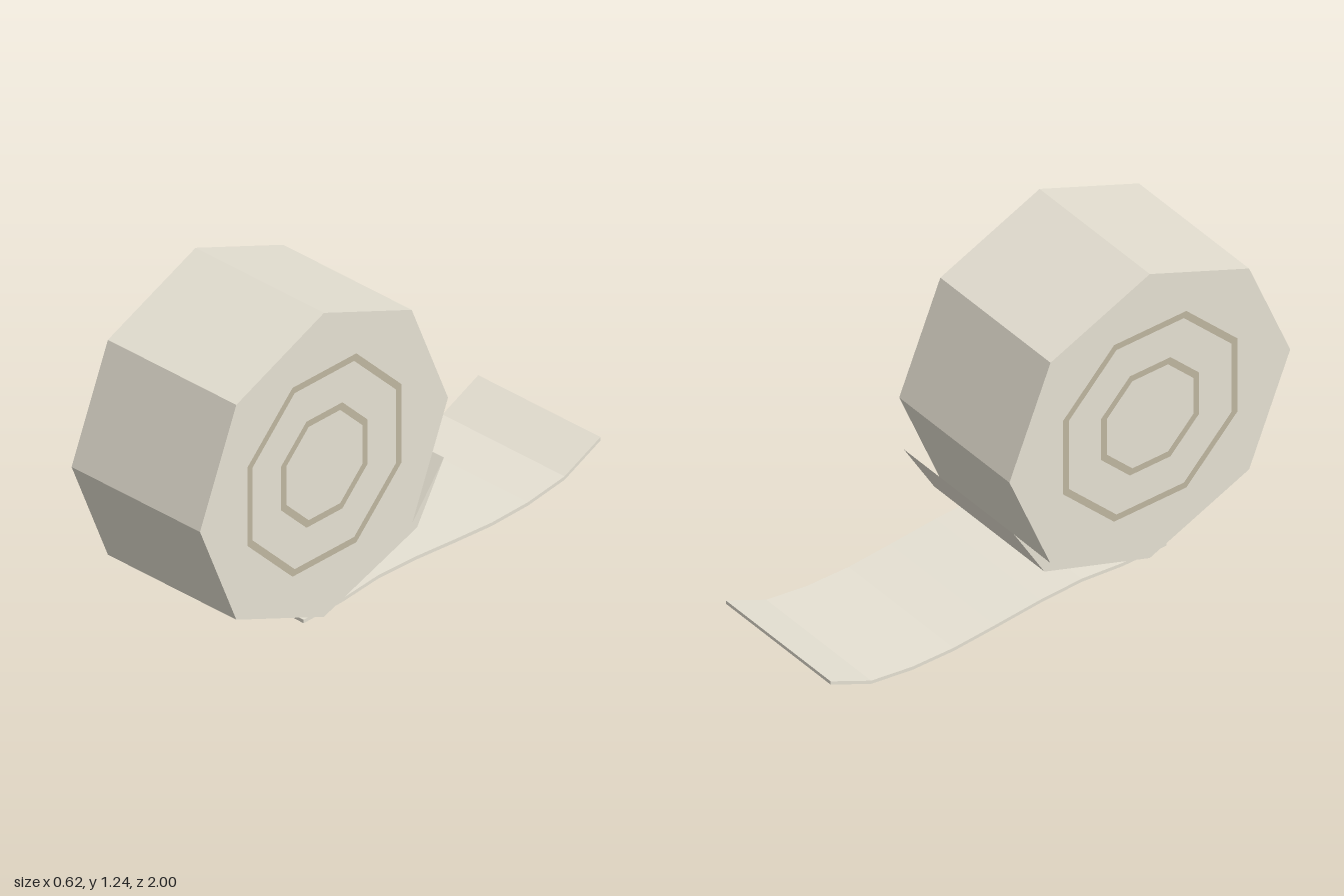
import * as THREE from 'three';

const CY = 0.63, CZ = 0.385, R = 0.613; // roll centre and radius

const paper = new THREE.MeshStandardMaterial({ color: 0xe6e1d3, flatShading: true });
const line = new THREE.MeshStandardMaterial({ color: 0xbfb6a0, flatShading: true });

// Extrude a [z, y] outline across the width, centred on x = 0
function slab(name, outline, width) {
  const shape = new THREE.Shape(outline.map(([z, y]) => new THREE.Vector2(-z, y)));
  const geo = new THREE.ExtrudeGeometry(shape, { depth: width, bevelEnabled: false });
  geo.translate(0, 0, -width / 2).rotateY(Math.PI / 2);
  const mesh = new THREE.Mesh(geo, paper);
  mesh.name = name;
  return mesh;
}

export function createModel() {
  const model = new THREE.Group();
  model.name = 'paperRoll';

  // Octagonal roll; the lower back corner opens into a peeling flap
  const outline = [];
  for (let i = 0; i < 8; i++) {
    const a = -Math.PI / 2 + (i * Math.PI) / 4;
    outline.push([CZ + R * Math.cos(a), CY + R * Math.sin(a)]);
  }
  outline.push([-0.05, 0.2], [-0.208, 0.397], [-0.075, 0.174]);
  outline.splice(7, 1); // the flap replaces the eighth corner
  model.add(slab('roll', outline, 0.614));

  // Unrolled sheet: a wavy strip of constant thickness
  const path = [[0.47, 0.029], [0.28, 0.03], [0.1, 0.046], [-0.08, 0.04], [-0.28, 0.023],
    [-0.46, 0.01], [-0.64, 0.013], [-0.82, 0.037], [-0.997, 0.117]];
  const t = 0.007;
  const top = path.map(([z, y]) => [z, y + t]);
  const bottom = path.map(([z, y]) => [z, y - t]).reverse();
  model.add(slab('looseSheet', [...top, ...bottom], 0.584));

  // Two thin octagonal rings printed on each end
  for (const side of [1, -1]) {
    for (const [name, apothem] of [['outerRing', 0.381], ['innerRing', 0.214]]) {
      const k = 1 / Math.cos(Math.PI / 8);
      const geo = new THREE.RingGeometry((apothem - 0.026) * k, apothem * k, 8, 1, Math.PI / 8);
      const ring = new THREE.Mesh(geo, line);
      ring.name = name + (side > 0 ? 'Left' : 'Right');
      ring.rotation.y = (side * Math.PI) / 2;
      ring.position.set(side * 0.309, CY, CZ);
      model.add(ring);
    }
  }
  return model;
}
